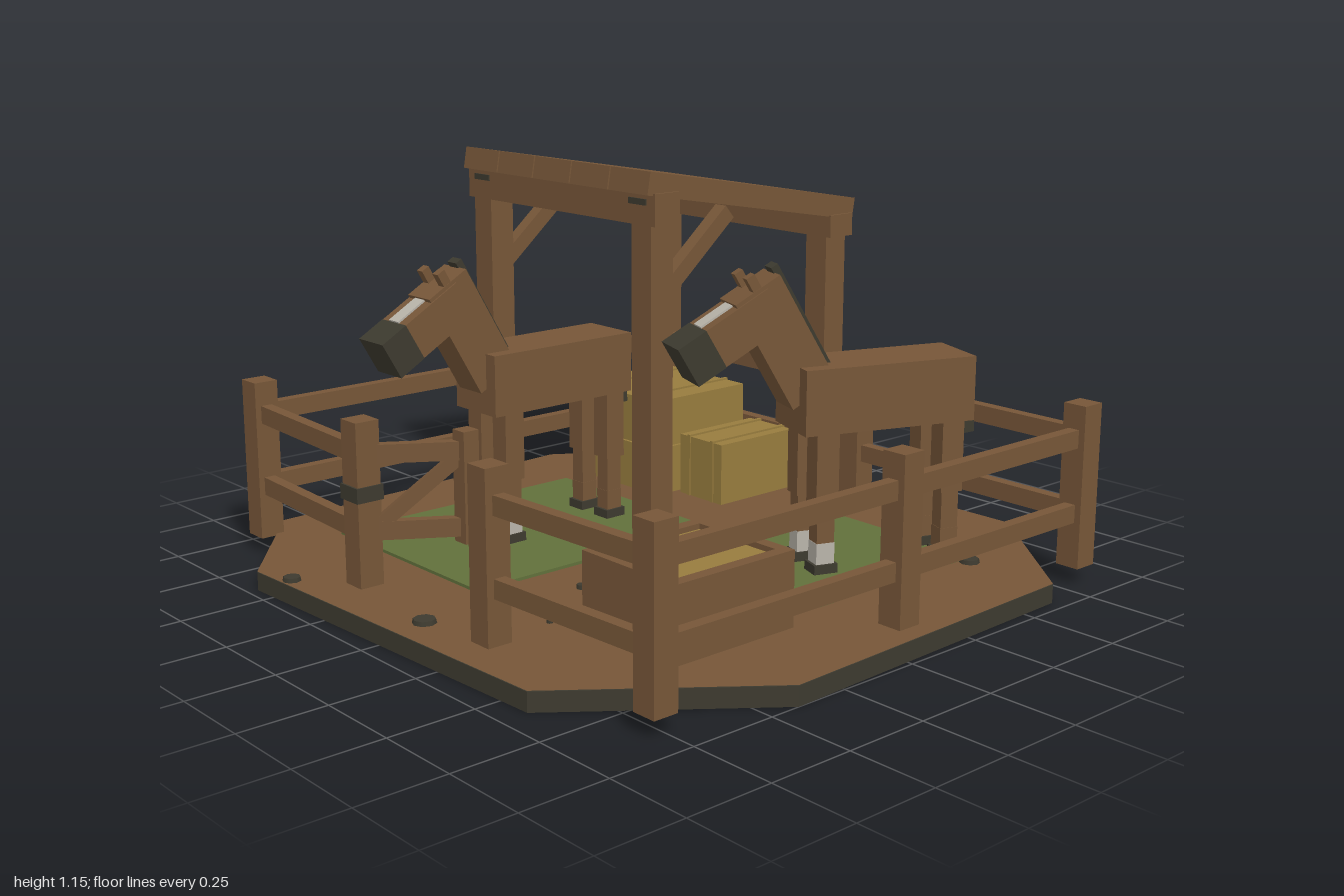
import * as THREE from 'three';

const paint = (name, color, side = THREE.FrontSide) => {
  const m = new THREE.MeshStandardMaterial({ color, side });
  m.name = name;
  return m;
};

export function createModel() {
  const brown = paint('brown', 0x765638);
  const dark = paint('dark', 0x3d3a2f);
  const green = paint('green', 0x61703b);
  const straw = paint('straw', 0x977c3e);
  const white = paint('white', 0xb9b4aa);
  const root = new THREE.Group();

  const group = (name, parent = root) => {
    const g = new THREE.Group();
    g.name = name;
    parent.add(g);
    return g;
  };
  // Box by centre and size
  const box = (parent, name, mat, [w, h, d], [x, y, z], rx = 0) => {
    const m = new THREE.Mesh(new THREE.BoxGeometry(w, h, d), mat);
    m.name = name;
    m.position.set(x, y, z);
    m.rotation.x = rx;
    parent.add(m);
    return m;
  };
  // Box by its limits
  const span = (parent, name, mat, [x0, x1], [y0, y1], [z0, z1]) =>
    box(parent, name, mat, [x1 - x0, y1 - y0, z1 - z0], [(x0 + x1) / 2, (y0 + y1) / 2, (z0 + z1) / 2]);
  // Bar running between two points
  const bar = (parent, name, mat, a, b, w, h) => {
    const p = new THREE.Vector3(...a), q = new THREE.Vector3(...b);
    const m = box(parent, name, mat, [w, h, p.distanceTo(q)], p.clone().lerp(q, 0.5).toArray());
    m.lookAt(q);
    return m;
  };

  // Ground: dark slab with an earth top
  const ground = group('ground');
  const outline = new THREE.Shape([[-1, 0.41], [-0.95, -0.67], [-0.58, -0.97], [0.6, -0.92],
    [1, -0.41], [0.96, 0.63], [0.53, 0.98], [-0.65, 0.95]].map(([x, y]) => new THREE.Vector2(x, y)));
  const slab = new THREE.Mesh(new THREE.ExtrudeGeometry(outline, { depth: 0.054, bevelEnabled: false }), dark);
  slab.name = 'slab';
  const earth = new THREE.Mesh(new THREE.ShapeGeometry(outline), brown);
  earth.name = 'earth';
  earth.position.y = 0.056;
  for (const m of [slab, earth]) {
    m.rotation.x = -Math.PI / 2;
    ground.add(m);
  }
  span(ground, 'grassLeft', green, [-0.715, -0.03], [0.05, 0.065], [-0.25, 0.61]);
  span(ground, 'grassRight', green, [0.1, 0.665], [0.05, 0.065], [-0.63, 0.03]);
  for (const [x, z, r] of [[-0.22, -0.91, 0.027], [0.57, -0.8, 0.022], [0.69, -0.6, 0.03], [-0.02, -0.24, 0.032],
    [-0.01, 0.18, 0.03], [0.13, 0.37, 0.016], [0.28, 0.6, 0.009], [0.065, 0.845, 0.034], [-0.45, 0.935, 0.027]]) {
    const s = new THREE.Mesh(new THREE.CylinderGeometry(r * 0.9, r, 0.014, 8), dark);
    s.name = 'stone';
    s.position.set(x, 0.061, z);
    ground.add(s);
  }

  // Fence posts and double rails
  const fence = group('fence');
  const posts = [[-0.885, 0.765], [-0.295, 0.795], [0.29, 0.795], [0.885, 0.765], [0.885, -0.075], [0.885, -0.83], [0.035, -0.83]];
  for (const [x, z] of posts) span(fence, 'fencePost', brown, [x - 0.037, x + 0.037], [0.05, 0.525], [z - 0.037, z + 0.037]);
  const rails = (...path) => {
    for (let i = 1; i < path.length; i++)
      for (const y of [0.21, 0.428])
        bar(fence, 'fenceRail', brown, [path[i - 1][0], y, path[i - 1][1]], [path[i][0], y, path[i][1]], 0.035, 0.053);
  };
  rails(...posts.slice(2), [-0.115, -0.83], [-0.885, -0.83], [-0.885, -0.1], posts[0], posts[1]);

  // Open gate with a diagonal brace and latch band
  const gate = group('gate');
  for (const y of [0.21, 0.428]) bar(gate, 'gateRail', brown, [-0.28, y, 0.775], [-0.14, y, 0.555], 0.03, 0.053);
  span(gate, 'gateStile', brown, [-0.167, -0.115], [0.165, 0.485], [0.53, 0.58]);
  bar(gate, 'gateBrace', brown, [-0.265, 0.23, 0.755], [-0.145, 0.42, 0.56], 0.025, 0.04);
  box(gate, 'latchBand', dark, [0.085, 0.043, 0.085], [-0.295, 0.322, 0.795]);

  // Shelter posts, beams, braces and sloping plank roof
  const shelter = group('shelter');
  for (const x of [-0.885, -0.117]) {
    span(shelter, 'frontPost', brown, [x - 0.043, x + 0.043], [0.05, 1.0], [-0.145, -0.06]);
    span(shelter, 'backPost', brown, [x - 0.043, x + 0.043], [0.05, 0.9], [-0.872, -0.787]);
    bar(shelter, 'brace', brown, [x, 0.76, -0.11], [x, 1.0, -0.39], 0.045, 0.05);
    box(shelter, 'boltPlate', dark, [0.075, 0.018, 0.006], [x - (x + 0.5) * 0.02, 1.058, -0.053]);
  }
  span(shelter, 'frontBeam', brown, [-0.95, -0.05], [0.99, 1.085], [-0.15, -0.055]);
  span(shelter, 'backBeam', brown, [-0.95, -0.05], [0.885, 0.955], [-0.878, -0.78]);
  const plankFaces = [brown, brown, brown, brown, brown, straw];
  for (let i = 0; i < 5; i++)
    box(shelter, 'roofPlank', plankFaces, [0.173, 0.068, 0.865], [-0.861 + i * 0.179, 1.041, -0.465], -0.174);

  // Straw bales with straps
  const bales = group('strawBales');
  const bale = ([x0, x1], [y0, y1], [z0, z1]) => {
    span(bales, 'bale', straw, [x0, x1], [y0, y1], [z0, z1]);
    for (const t of [0.22, 0.78]) {
      const x = x0 + (x1 - x0) * t;
      span(bales, 'baleStrap', straw, [x - 0.006, x + 0.006], [y0, y1 + 0.006], [z0 - 0.004, z1 + 0.004]);
    }
  };
  bale([-0.775, -0.39], [0.055, 0.208], [-0.74, -0.36]);
  bale([-0.775, -0.39], [0.212, 0.365], [-0.74, -0.36]);
  bale([-0.37, -0.18], [0.055, 0.25], [-0.755, -0.445]);

  // Feed trough
  const trough = group('trough');
  span(trough, 'troughFloor', brown, [0.48, 0.815], [0.11, 0.14], [0.255, 0.64]);
  for (const [x0, x1] of [[0.475, 0.51], [0.787, 0.822]])
    span(trough, 'troughSide', brown, [x0, x1], [0.11, 0.315], [0.25, 0.648]);
  for (const [z0, z1] of [[0.25, 0.284], [0.614, 0.648]])
    span(trough, 'troughEnd', brown, [0.51, 0.787], [0.11, 0.315], [z0, z1]);
  span(trough, 'feed', straw, [0.51, 0.787], [0.14, 0.3], [0.284, 0.614]);

  // Horse: local origin on the ground below the middle of the body
  const horse = (name, x, z, turn, scale) => {
    const g = group(name);
    g.position.set(x, 0.065, z);
    g.rotation.y = turn;
    g.scale.setScalar(scale);
    box(g, 'body', brown, [0.19, 0.18, 0.51], [0, 0.48, 0]);
    for (const sx of [-0.06, 0.06])
      for (const [lz, lower] of [[0.185, white], [-0.195, brown]]) {
        box(g, 'upperLeg', brown, [0.062, 0.21, 0.066], [sx, 0.295, lz]);
        box(g, 'lowerLeg', brown, [0.048, 0.12, 0.052], [sx, 0.14, lz]);
        box(g, 'sock', lower, [0.05, 0.06, 0.054], [sx, 0.055, lz]);
        box(g, 'hoof', dark, [0.062, 0.026, 0.07], [sx, 0.013, lz]);
      }
    // Neck leans forward with the mane along its back edge
    const neck = group('neck', g);
    neck.position.set(0, 0.64, 0.295);
    neck.rotation.x = Math.PI / 6;
    box(neck, 'neckBlock', brown, [0.105, 0.34, 0.145], [0, 0, 0]);
    box(neck, 'mane', dark, [0.042, 0.35, 0.022], [0, 0.012, -0.08]);
    // Head slopes down towards the muzzle
    const head = group('head', g);
    head.position.set(0, 0.668, 0.45);
    head.rotation.x = Math.PI / 6;
    box(head, 'skull', brown, [0.115, 0.115, 0.2], [0, 0, -0.045]);
    box(head, 'muzzle', dark, [0.117, 0.117, 0.09], [0, 0, 0.1]);
    box(head, 'blaze', white, [0.045, 0.008, 0.185], [0, 0.059, -0.038]);
    for (const sx of [-0.038, 0.038]) box(head, 'ear', brown, [0.026, 0.06, 0.026], [sx, 0.08, -0.12]);
    box(g, 'tail', dark, [0.048, 0.22, 0.04], [0, 0.445, -0.272], 0.08);
  };
  horse('leftHorse', -0.375, 0.095, 0, 1);
  horse('rightHorse', 0.485, -0.41, -0.35, 1.03);

  return root;
}
